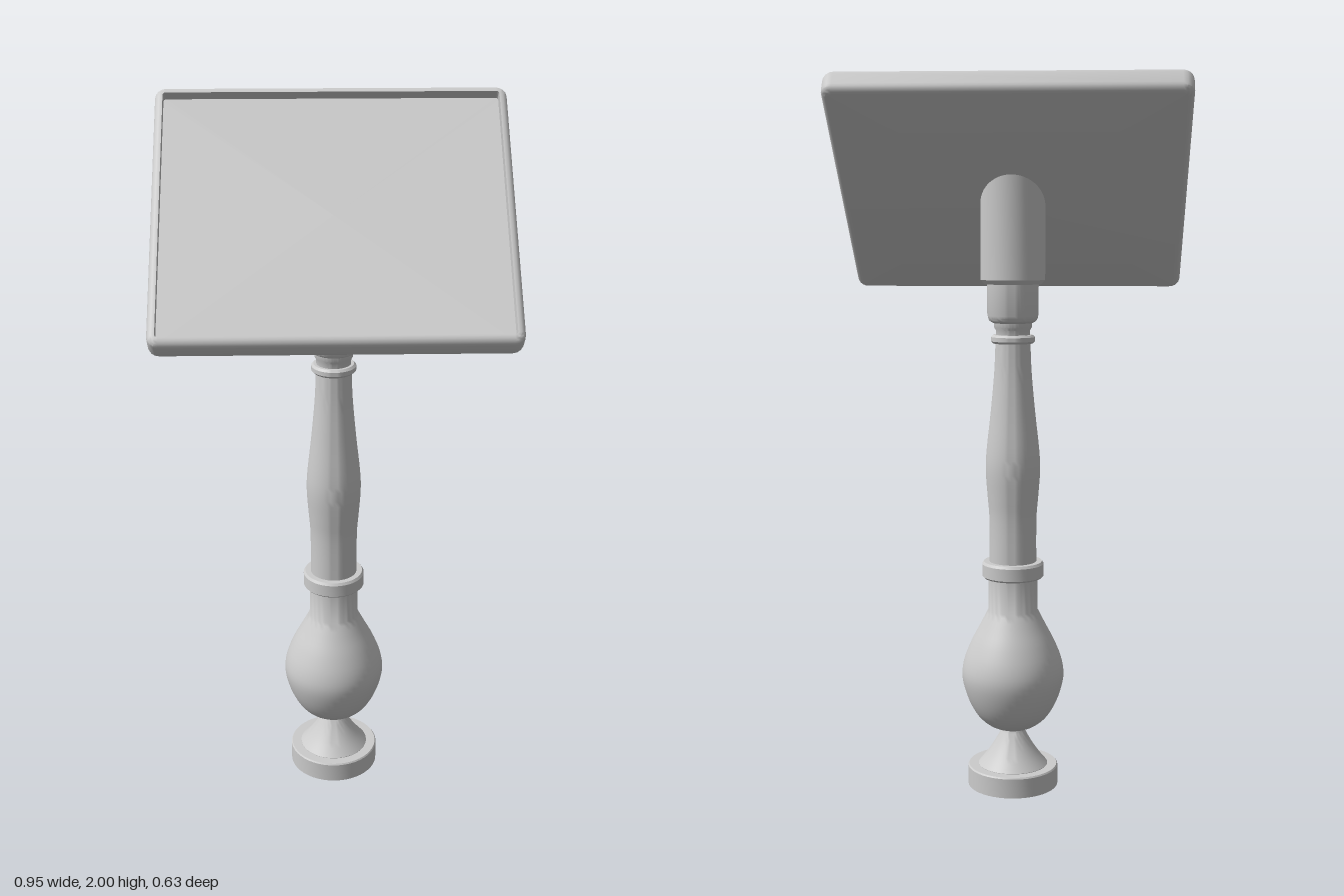
import * as THREE from 'three';
import { toCreasedNormals } from 'three/addons/utils/BufferGeometryUtils.js';

const TILT = 0.724;                 // slope of the reading board
const BOARD_Y = 1.7175;
const material = new THREE.MeshStandardMaterial({ color: 0xcccccc });

function addMesh(parent, name, geometry, crease = 0.6) {
  const mesh = new THREE.Mesh(toCreasedNormals(geometry, crease), material);
  mesh.name = name;
  parent.add(mesh);
  return mesh;
}

// Turned part from [radius, height] pairs, bottom to top
function turned(points) {
  return new THREE.LatheGeometry(points.map(([r, y]) => new THREE.Vector2(r, y)), 48);
}

// Smooth [radius, height] curve through a few points
function smooth(points, n = 20) {
  const curve = new THREE.SplineCurve(points.map(([r, y]) => new THREE.Vector2(r, y)));
  return curve.getPoints(n).map((p) => [p.x, p.y]);
}

// Horizontal rounded-rectangle loop, counter-clockwise seen from above
function ring(w, l, r, h) {
  const out = [];
  [[1, 1], [-1, 1], [-1, -1], [1, -1]].forEach(([sx, sz], corner) => {
    for (let i = 0; i <= 4; i++) {
      const t = (corner + i / 4) * Math.PI / 2;
      out.push([sx * (w - r) + r * Math.cos(t), h, -sz * (l - r) - r * Math.sin(t)]);
    }
  });
  return out;
}

function loft(rings) {
  const n = rings[0].length, index = [];
  for (let i = 0; i < rings.length - 1; i++) {
    for (let j = 0; j < n; j++) {
      const a = i * n + j, b = i * n + (j + 1) % n;
      index.push(a, b, a + n, b, b + n, a + n);
    }
  }
  const g = new THREE.BufferGeometry();
  g.setAttribute('position', new THREE.Float32BufferAttribute(rings.flat(2), 3));
  g.setIndex(index);
  return g;
}

// Tray with softened edges and a sunken face
function boardGeometry() {
  const W = 0.477, L = 0.396, H = 0.0375, B = 0.02, FLOOR = 0.008;
  const inset = (d, h) => ring(W - d, L - d, Math.max(0.03 - d, 0.004), h);
  const rings = [ring(0, 0, 0, -H)];
  for (const side of [-1, 1]) {
    for (let i = 0; i <= 4; i++) {
      const t = (side < 0 ? 4 - i : i) / 4 * Math.PI / 2;
      rings.push(inset(B * (1 - Math.cos(t)), side * (H - B + B * Math.sin(t))));
    }
  }
  rings.push(inset(0.022, H), inset(0.022, FLOOR), ring(0, 0, 0, FLOOR));
  return loft(rings);
}

export function createModel() {
  const model = new THREE.Group();
  model.name = 'lectern';

  // Foot, hollow underneath, with a flared cone on top
  addMesh(model, 'foot', turned([
    [0, 0.05], [0.095, 0.05], [0.095, 0], [0.13, 0], [0.13, 0.056], [0.127, 0.06], [0.1, 0.06],
    ...smooth([[0.1, 0.061], [0.075, 0.092], [0.05, 0.13], [0.03, 0.168]], 8), [0.03, 0.18],
  ]));

  // Vase-shaped swelling
  addMesh(model, 'vase', turned([
    [0, 0.165],
    ...smooth([[0.035, 0.165], [0.07, 0.18], [0.103, 0.21], [0.13, 0.26], [0.146, 0.32],
      [0.141, 0.37], [0.12, 0.425], [0.094, 0.475], [0.071, 0.52]], 28),
    [0.07, 0.63],
  ]));

  // Collar between vase and shaft
  addMesh(model, 'lowerCollar', turned([
    [0, 0.615], [0.083, 0.615], [0.088, 0.62], [0.088, 0.655], [0.083, 0.662], [0, 0.662],
  ]));

  // Swelling shaft
  addMesh(model, 'shaft', turned(smooth([
    [0.067, 0.65], [0.067, 0.78], [0.072, 0.85], [0.077, 0.92], [0.075, 0.98],
    [0.063, 1.09], [0.053, 1.2], [0.049, 1.29],
  ], 28)));

  // Thin ring, neck and socket
  addMesh(model, 'neckRing', turned([
    [0, 1.285], [0.056, 1.285], [0.062, 1.291], [0.062, 1.303], [0.056, 1.309], [0, 1.309],
  ]));
  addMesh(model, 'neck', turned([[0.048, 1.3], [0.048, 1.322], [0.053, 1.33], [0.053, 1.35]]));
  addMesh(model, 'socket', turned([
    [0, 1.342], ...smooth([[0.055, 1.342], [0.067, 1.35], [0.072, 1.368]], 6), [0.072, 1.46],
  ]));

  // Post head, its top cut to the slope of the board
  const head = turned([[0, 1.45], [0.08, 1.45], [0.09, 1.462], [0.09, 1.7], [0, 1.7]]);
  const p = head.attributes.position;
  for (let i = 0; i < p.count; i++) {
    if (p.getY(i) > 1.6) p.setY(i, 1.675 - Math.tan(TILT) * p.getZ(i));
  }
  addMesh(model, 'postHead', head);

  // Sloped reading board
  const board = addMesh(model, 'board', boardGeometry(), 0.5);
  board.position.y = BOARD_Y;
  board.rotation.x = TILT;

  return model;
}
